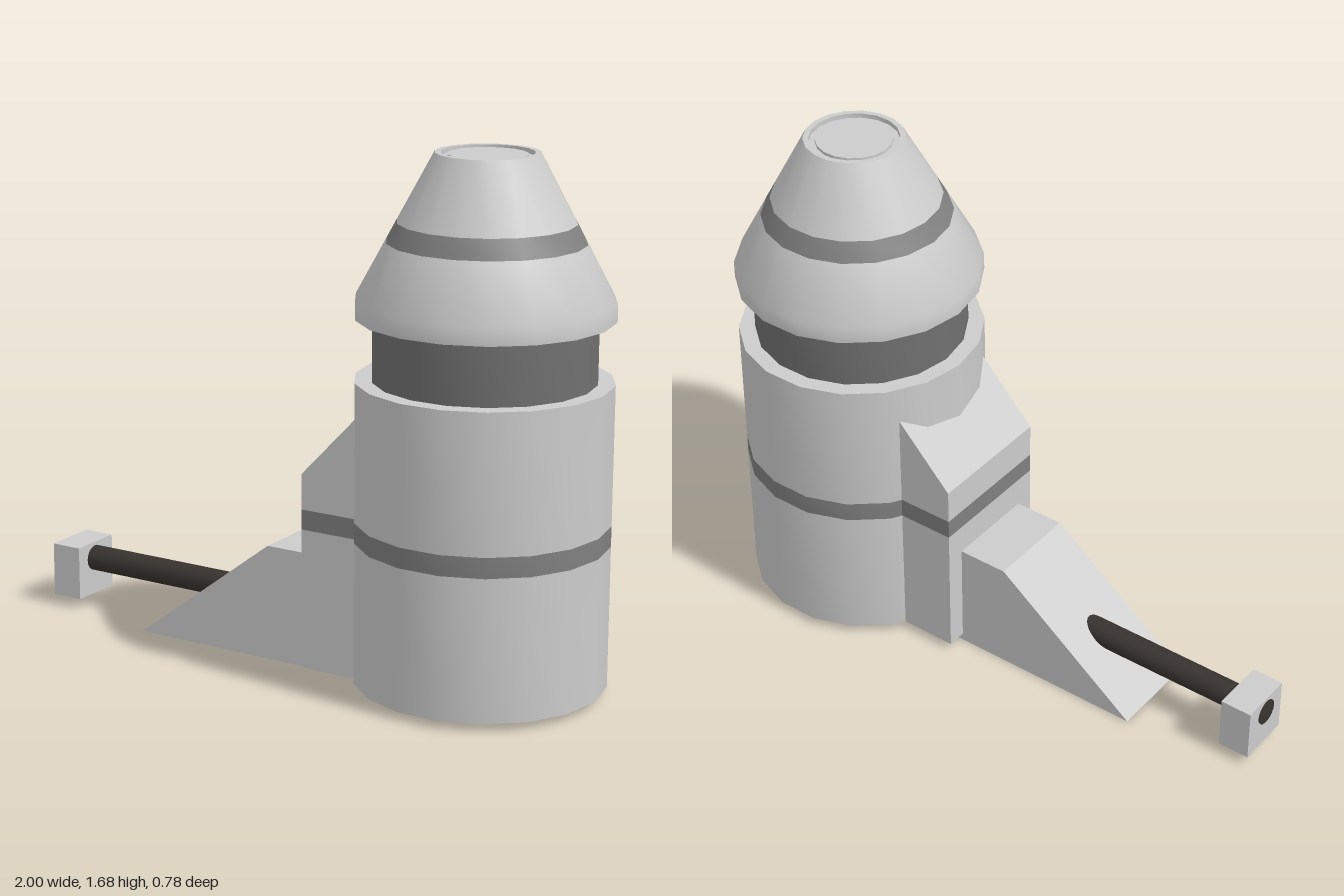
import * as THREE from 'three';
import { toCreasedNormals } from 'three/addons/utils/BufferGeometryUtils.js';

const mat = (color) => new THREE.MeshStandardMaterial({ color });
const shell = mat(0xcccccc);
const stripe = mat(0x808080);
const dark = mat(0x707070);
const black = mat(0x38332f);

const CX = 0.602; // axis of the upright cylinder
const R = 0.398;

export function createModel() {
  const group = new THREE.Group();

  const add = (name, geometry, material, x = 0, y = 0, z = 0) => {
    const mesh = new THREE.Mesh(geometry, material);
    mesh.name = name;
    mesh.position.set(x, y, z);
    group.add(mesh);
    return mesh;
  };

  // 18-sided turned part, profile listed from bottom to top as [radius, y]
  const turned = (name, profile, material) => {
    const pts = profile.map(([r, y]) => new THREE.Vector2(r, y));
    const geo = new THREE.LatheGeometry(pts, 18, Math.PI / 2);
    return add(name, toCreasedNormals(geo, 0.6), material, CX);
  };

  // Side profile in x/y, extruded symmetrically across z
  const slab = (name, profile, halfWidth, material) => {
    const shape = new THREE.Shape(profile.map(([x, y]) => new THREE.Vector2(x, y)));
    const geo = new THREE.ExtrudeGeometry(shape, { depth: 2 * halfWidth, bevelEnabled: false });
    return add(name, geo, material, 0, 0, -halfWidth);
  };

  // Main body in two halves with a stripe between
  const [s0, s1] = [0.48, 0.545];
  turned('bodyLower', [[0, 0.025], [R, 0.025], [R, s0]], shell);
  turned('bodyStripe', [[R, s0], [R, s1]], stripe);
  turned('bodyUpper', [[R, s1], [R, 0.985], [0, 0.985]], shell);

  // Recessed neck
  turned('neck', [[0.345, 0.985], [0.345, 1.18]], dark);

  // Conical cap with a stripe and a shallow groove in its flat top
  const coneR = (y) => R - (R - 0.16) * (y - 1.235) / (1.68 - 1.235);
  const [c0, c1] = [1.41, 1.47];
  turned('capLower', [[0, 1.18], [R, 1.18], [R, 1.235], [coneR(c0), c0]], shell);
  turned('capStripe', [[coneR(c0), c0], [coneR(c1), c1]], stripe);
  turned('capUpper', [
    [coneR(c1), c1], [0.16, 1.68], [0.142, 1.68], [0.142, 1.665],
    [0.122, 1.665], [0.122, 1.675], [0, 1.675],
  ], shell);

  // Bracket against the body, its stripe in line with the body's
  const [b0, b1] = [0.085, 0.28];
  slab('bracketLower', [[b0, 0.025], [b1, 0.025], [b1, s0], [b0, s0]], 0.22, shell);
  slab('bracketStripe', [[b0, s0], [b1, s0], [b1, s1], [b0, s1]], 0.22, stripe);
  slab('bracketUpper', [[b0, s1], [b1, s1], [b1, 0.865], [b0, 0.66]], 0.22, shell);

  // Sloped foot running under the body
  slab('foot', [[-0.58, 0], [0.34, 0], [0.34, 0.38], [-0.085, 0.38]], 0.155, shell);

  // Rod from the foot through the end block
  const rod = new THREE.CylinderGeometry(0.043, 0.043, 0.8, 18);
  rod.rotateZ(Math.PI / 2);
  add('rod', rod, black, -0.6, 0.16, 0);
  add('endBlock', new THREE.BoxGeometry(0.107, 0.18, 0.185), shell, -0.943, 0.125, -0.003);

  return group;
}
